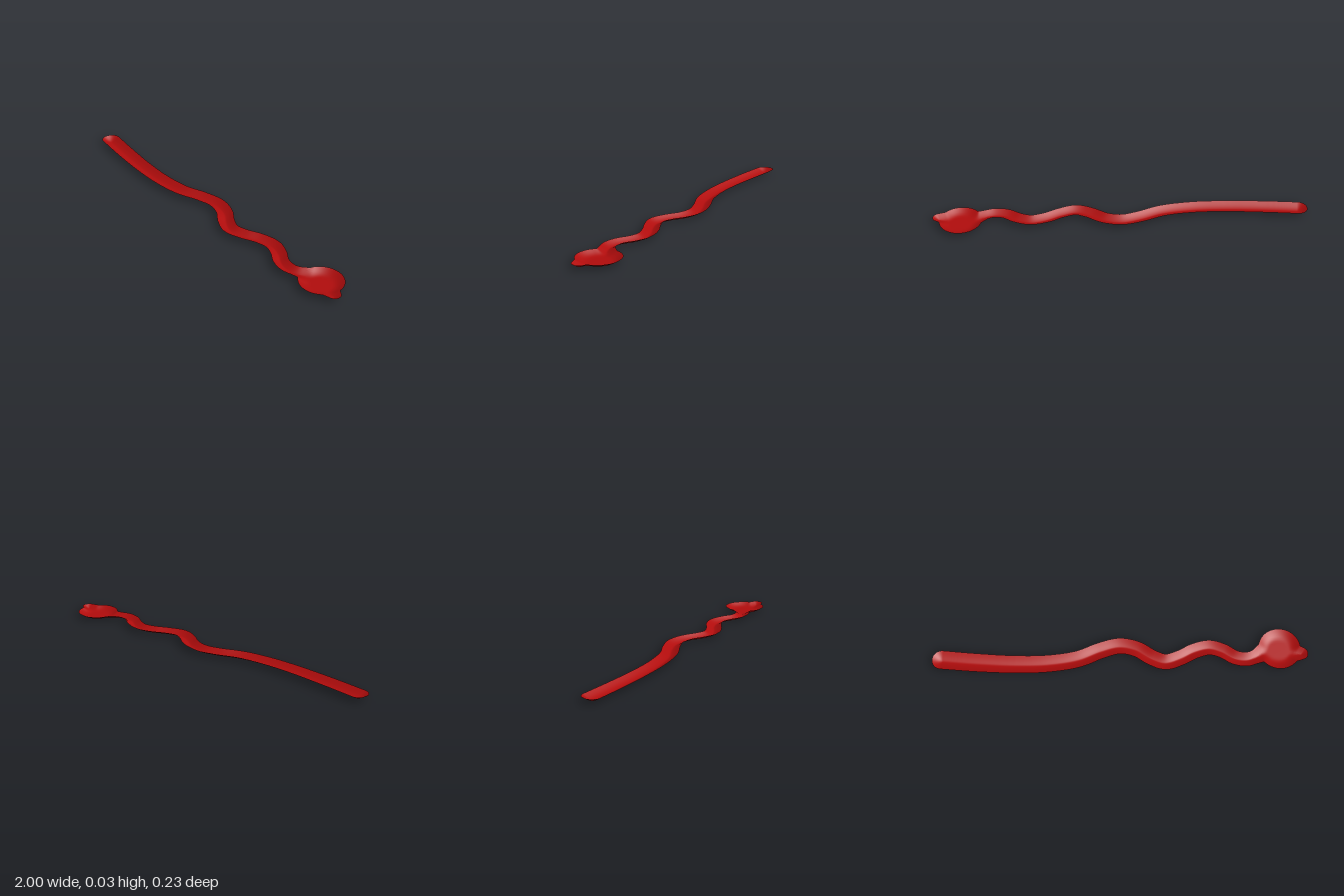
import * as THREE from 'three';

const RIM = 0.025;      // height of the open rim
const WALL = 0.06;      // distance from the rim over which the wall curves down
const COLS = 320, ROWS = 18;

// Centre line seen from above: x, z, half width
const spine = [
  [-0.948, -0.008, 0.052], [-0.75, 0.016, 0.051], [-0.55, 0.033, 0.049],
  [-0.38, 0.035, 0.048], [-0.22, 0.015, 0.047], [-0.1, -0.028, 0.046],
  [0, -0.049, 0.045], [0.09, -0.028, 0.044], [0.17, 0.024, 0.044],
  [0.24, 0.05, 0.044], [0.32, 0.03, 0.043], [0.4, -0.006, 0.043],
  [0.48, -0.021, 0.042], [0.55, 0.002, 0.041], [0.61, 0.04, 0.04],
  [0.67, 0.052, 0.04], [0.72, 0.04, 0.04], [0.78, 0.01, 0.055],
];

// Discs whose union is the outline: wavy body, round head, small snout
function outlineDiscs() {
  const curve = new THREE.CatmullRomCurve3(spine.map(p => new THREE.Vector3(...p)));
  const discs = curve.getPoints(500).map(p => [p.x, p.y, p.z]);
  discs.push([0.85, 0, 0.113]);
  for (let i = 0; i <= 12; i++) {
    const t = i / 12;
    discs.push([0.89 + 0.075 * t, 0.02 + 0.011 * t, 0.065 - 0.03 * t]);
  }
  return discs;
}

// Distance from a point to a segment in the plane
function segmentDistance(x, z, [ax, az], [bx, bz]) {
  const dx = bx - ax, dz = bz - az;
  const len = dx * dx + dz * dz;
  const t = len ? THREE.MathUtils.clamp(((x - ax) * dx + (z - az) * dz) / len, 0, 1) : 0;
  return Math.hypot(x - ax - t * dx, z - az - t * dz);
}

function troughGeometry() {
  const discs = outlineDiscs();
  const back = [], front = [];

  // Back and front rim at each x
  for (let i = 0; i <= COLS; i++) {
    const x = -0.99999 * Math.cos(Math.PI * i / COLS);
    let lo = Infinity, hi = -Infinity;
    for (const [cx, cz, r] of discs) {
      const s = r * r - (x - cx) ** 2;
      if (s < 0) continue;
      lo = Math.min(lo, cz - Math.sqrt(s));
      hi = Math.max(hi, cz + Math.sqrt(s));
    }
    back.push([x, lo]);
    front.push([x, hi]);
  }

  // Sink the surface according to its distance from the rim
  const depth = (x, z) => {
    let d = WALL;
    for (const rim of [back, front]) {
      for (let k = 0; k < COLS; k++) d = Math.min(d, segmentDistance(x, z, rim[k], rim[k + 1]));
    }
    return RIM * Math.sin(d / WALL * Math.PI / 2);
  };

  const positions = [], index = [];
  for (let i = 0; i <= COLS; i++) {
    const x = back[i][0];
    for (let j = 0; j <= ROWS; j++) {
      const z = THREE.MathUtils.lerp(back[i][1], front[i][1], j / ROWS);
      positions.push(x, RIM - depth(x, z), z);
      if (i < COLS && j < ROWS) {
        const a = i * (ROWS + 1) + j, b = a + ROWS + 1;
        index.push(a, a + 1, b, b, a + 1, b + 1);
      }
    }
  }
  const geometry = new THREE.BufferGeometry();
  geometry.setAttribute('position', new THREE.Float32BufferAttribute(positions, 3));
  geometry.setIndex(index);
  geometry.computeVertexNormals();
  return geometry;
}

export function createModel() {
  const group = new THREE.Group();
  group.name = 'wavyTrough';
  const shell = new THREE.Mesh(
    troughGeometry(),
    new THREE.MeshStandardMaterial({ color: 0xb00c0c, side: THREE.DoubleSide })
  );
  shell.name = 'bodyAndHeadShell';
  group.add(shell);
  return group;
}
